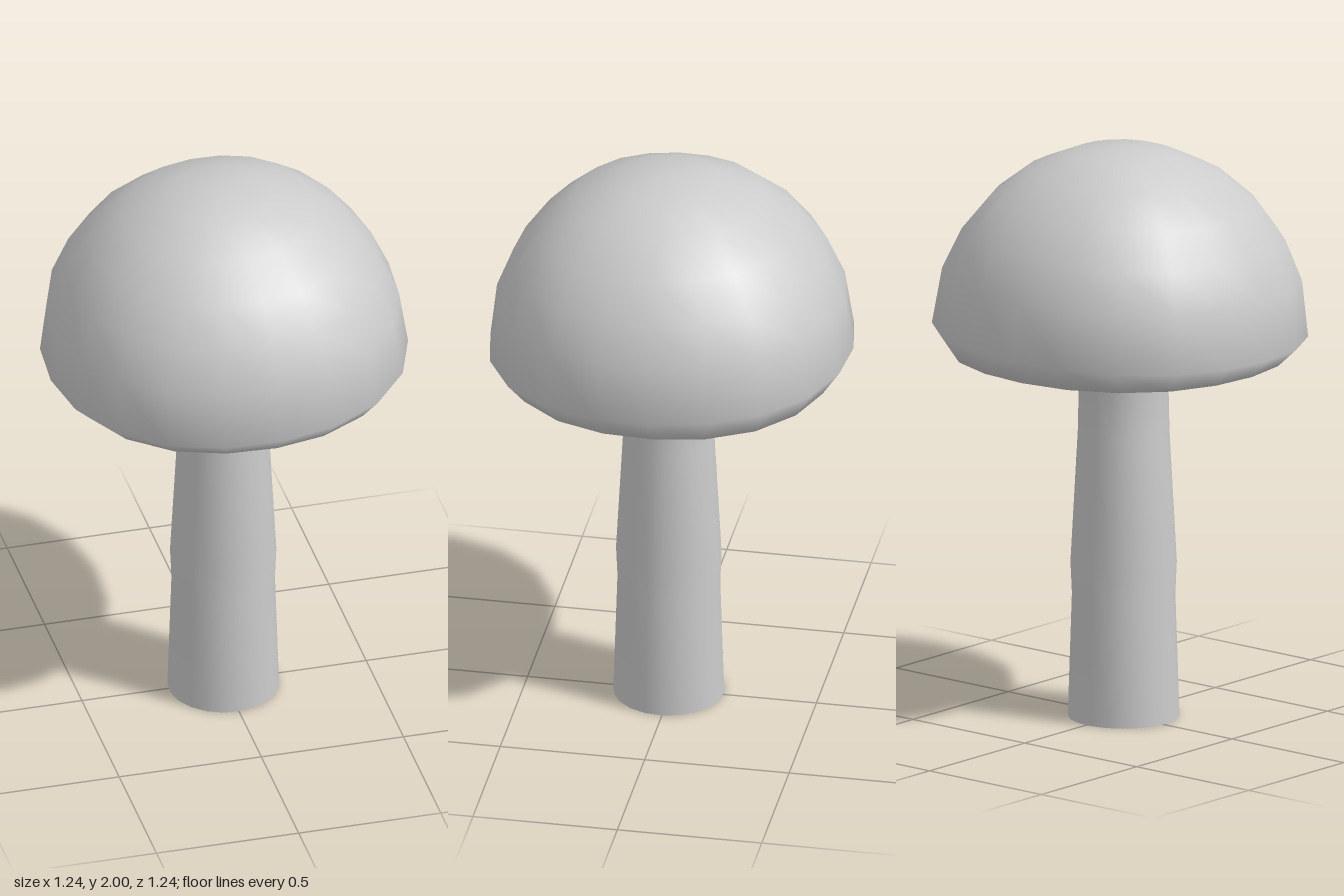
import * as THREE from 'three';
import { mergeVertices } from 'three/addons/utils/BufferGeometryUtils.js';

// Smooth lathe whose vertices are reshaped by warp(v)
function warpedLathe(profile, segments, phiStart, warp) {
  const points = profile.map(([r, y]) => new THREE.Vector2(r, y));
  const lathe = new THREE.LatheGeometry(points, segments, phiStart);
  lathe.deleteAttribute('uv');
  lathe.deleteAttribute('normal');
  const geometry = mergeVertices(lathe, 1e-4);
  const pos = geometry.attributes.position;
  const v = new THREE.Vector3();
  for (let i = 0; i < pos.count; i++) {
    v.fromBufferAttribute(pos, i);
    warp(v);
    pos.setXYZ(i, v.x, v.y, v.z);
  }
  geometry.computeVertexNormals();
  return geometry;
}

export function createModel() {
  const model = new THREE.Group();
  model.name = 'mushroom';
  const material = new THREE.MeshStandardMaterial({ color: 0xcccccc, side: THREE.DoubleSide });

  // Cap: flat underside, rounded rim and dome, slightly squared and tilted
  const capProfile = [
    [0.172, 1.272], [0.3, 1.268], [0.46, 1.266], [0.56, 1.278], [0.622, 1.355],
    [0.595, 1.55], [0.535, 1.69], [0.445, 1.81], [0.325, 1.91], [0.175, 1.977], [0, 2],
  ];
  const cap = new THREE.Mesh(warpedLathe(capProfile, 20, 0.07, (v) => {
    const square = 1.015 - 0.015 * Math.cos(4 * Math.atan2(v.x, v.z));
    v.x *= square;
    v.z *= square;
    const tilt = 0.026 * THREE.MathUtils.clamp((v.y - 1.25) / 0.1, 0, 1);
    const lift = v.y - 1.355;
    v.y += tilt * (v.x - v.z);
    v.x -= tilt * lift;
    v.z += tilt * lift;
    v.y = Math.min(v.y, 2);
  }), material);
  cap.name = 'cap';

  // Stem: open at the foot, slight bulge at mid height, collar under the cap
  const stemProfile = [
    [0.19, 0], [0.176, 0.43], [0.181, 0.54], [0.156, 1], [0.151, 1.24], [0.172, 1.272],
  ];
  const stem = new THREE.Mesh(warpedLathe(stemProfile, 20, 0.07, (v) => {
    const lean = THREE.MathUtils.clamp((1.272 - v.y) / 0.03, 0, 1);
    v.x -= 0.006 * lean;
    v.z += 0.012 * lean;
  }), material);
  stem.name = 'stem';

  model.add(cap, stem);
  return model;
}
